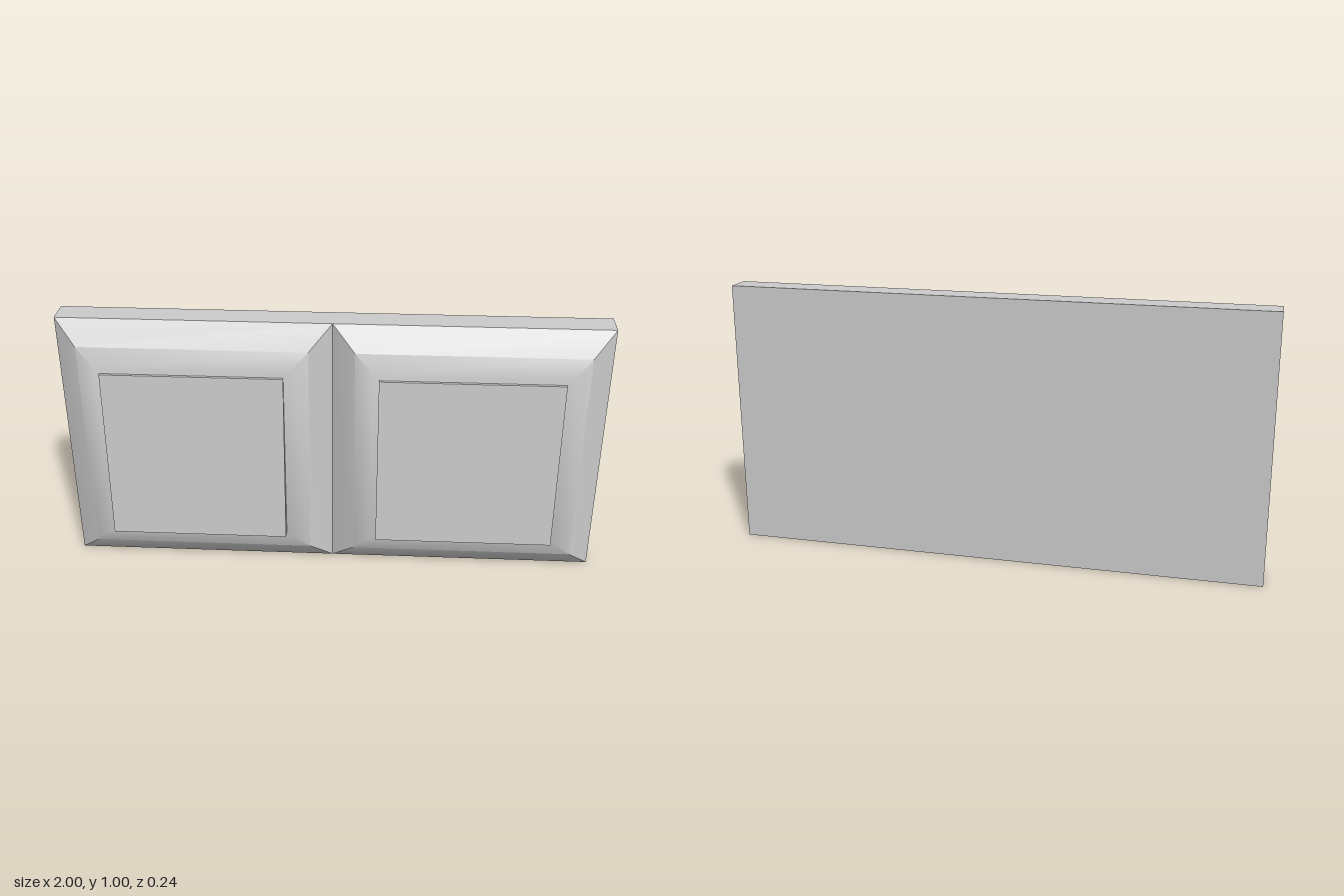
import * as THREE from 'three';
import { toCreasedNormals } from 'three/addons/utils/BufferGeometryUtils.js';

const grey = new THREE.MeshStandardMaterial({ color: 0xcccccc });

// Bevelled square frame: rings of four corners stepping inward and forward, closed by a flat face
function bezelGeometry() {
  const profile = [[0, -0.018], [0.083, 0.05], [0.15, 0.082]]; // inset, z
  const positions = [];
  const indices = [];
  for (const [inset, z] of profile) {
    const h = 0.5 - inset;
    positions.push(-h, -h, z, h, -h, z, h, h, z, -h, h, z);
  }
  for (let ring = 0; ring < profile.length - 1; ring++) {
    for (let i = 0; i < 4; i++) {
      const a = ring * 4 + i, b = ring * 4 + (i + 1) % 4;
      indices.push(a, b, b + 4, a, b + 4, a + 4);
    }
  }
  const f = (profile.length - 1) * 4;
  indices.push(f, f + 1, f + 2, f, f + 2, f + 3);
  const geometry = new THREE.BufferGeometry();
  geometry.setAttribute('position', new THREE.Float32BufferAttribute(positions, 3));
  geometry.setIndex(indices);
  return toCreasedNormals(geometry, THREE.MathUtils.degToRad(42));
}

// Rocker wedge: side outline in (z, y), thicker at the bottom, extruded across x
function rockerGeometry() {
  const width = 0.66;
  const outline = new THREE.Shape([
    new THREE.Vector2(0.07, -0.33),
    new THREE.Vector2(0.118, -0.33),
    new THREE.Vector2(0.093, 0.33),
    new THREE.Vector2(0.07, 0.33),
  ]);
  const geometry = new THREE.ExtrudeGeometry(outline, { depth: width, bevelEnabled: false });
  return geometry.translate(0, 0, -width / 2).rotateY(-Math.PI / 2);
}

export function createModel() {
  const model = new THREE.Group();
  model.name = 'doubleSwitch';

  const add = (name, geometry, x, y, z) => {
    const mesh = new THREE.Mesh(geometry, grey);
    mesh.name = name;
    mesh.position.set(x, y, z);
    model.add(mesh);
  };

  // Wall plate behind both switches
  add('backPlate', new THREE.BoxGeometry(2, 1, 0.1), 0, 0.5, -0.068);

  // One bezel and rocker on each side
  const bezel = bezelGeometry();
  const rocker = rockerGeometry();
  for (const [side, x] of [['left', 0.5], ['right', -0.5]]) {
    add(side + 'Bezel', bezel, x, 0.5, 0);
    add(side + 'Rocker', rocker, x, 0.5, 0);
  }
  return model;
}
